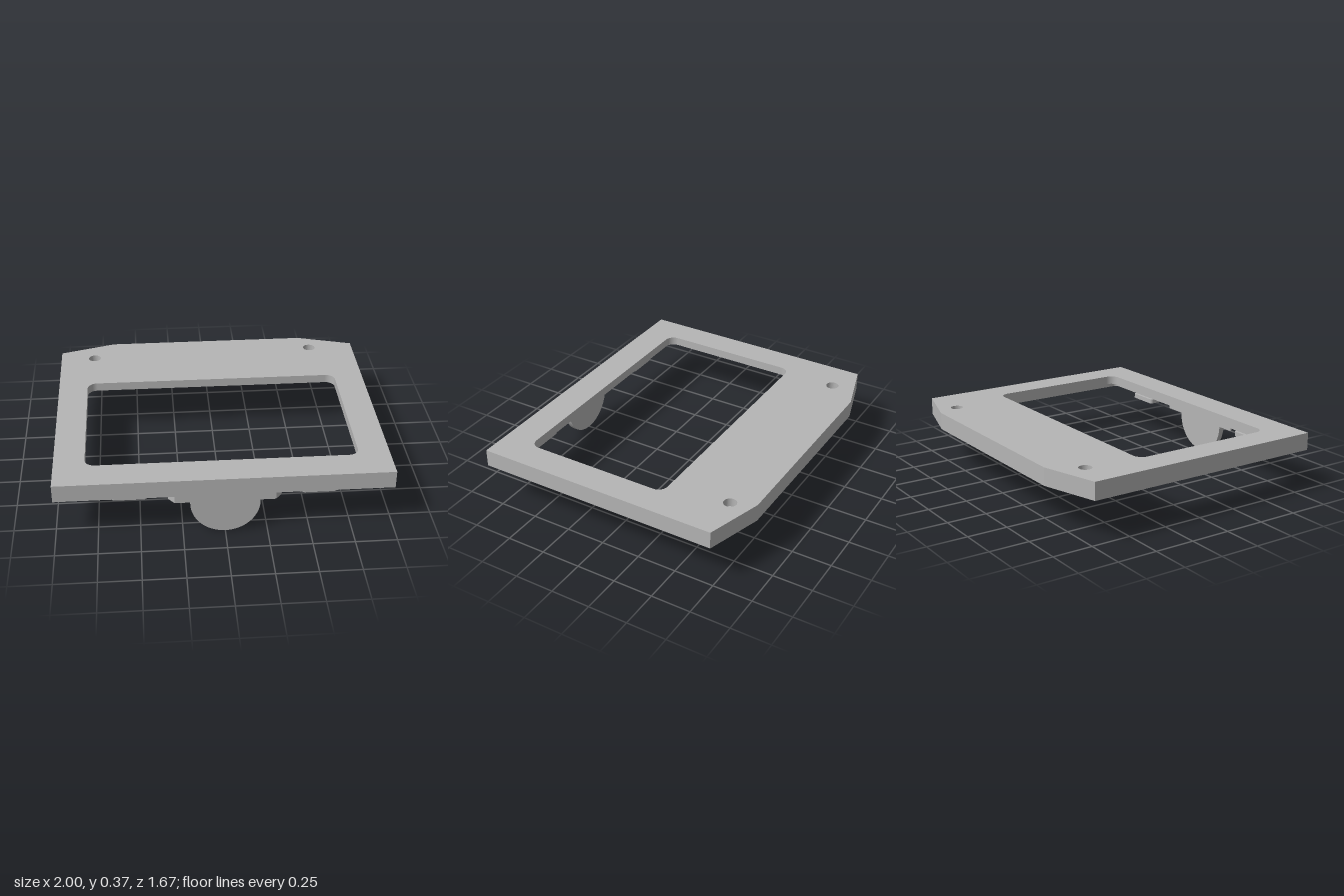
import * as THREE from 'three';

const TOP = 0.37, ROOF = 0.315, BASE = 0.26;

// Traces a rounded rectangle onto a Shape or Path.
function roundRect(p, x0, y0, x1, y1, r) {
  p.moveTo(x0 + r, y0);
  p.lineTo(x1 - r, y0);
  p.absarc(x1 - r, y0 + r, r, -Math.PI / 2, 0, false);
  p.lineTo(x1, y1 - r);
  p.absarc(x1 - r, y1 - r, r, 0, Math.PI / 2, false);
  p.lineTo(x0 + r, y1);
  p.absarc(x0 + r, y1 - r, r, Math.PI / 2, Math.PI, false);
  p.lineTo(x0, y0 + r);
  p.absarc(x0 + r, y0 + r, r, Math.PI, Math.PI * 1.5, false);
  return p;
}

function circleHole(x, z, r) {
  const p = new THREE.Path();
  p.absarc(x, -z, r, 0, Math.PI * 2, true);
  return p;
}

// Extrudes a plan shape (shape y = -z) between two heights.
function slab(shape, y0, y1) {
  const g = new THREE.ExtrudeGeometry(shape, { depth: y1 - y0, bevelEnabled: false, curveSegments: 24 });
  g.rotateX(-Math.PI / 2);
  g.translate(0, y0, 0);
  return g;
}

function outline() {
  return new THREE.Shape([
    [-1, -0.835], [1, -0.835], [1, 0.73], [0.645, 0.835], [-0.645, 0.835], [-1, 0.73],
  ].map(([x, y]) => new THREE.Vector2(x, y)));
}

export function createModel() {
  const grey = new THREE.MeshStandardMaterial({ color: 0xb5b5b5 });
  grey.name = 'plain grey';
  const group = new THREE.Group();
  group.name = 'displayBezel';
  const add = (name, geometry) => {
    const mesh = new THREE.Mesh(geometry, grey);
    mesh.name = name;
    group.add(mesh);
    return mesh;
  };

  // Upper layer: window and two blind holes
  const upper = outline();
  upper.holes.push(
    roundRect(new THREE.Path(), -0.815, -0.64, 0.815, 0.305, 0.06),
    circleHole(-0.775, -0.645, 0.04),
    circleHole(0.705, -0.69, 0.04),
  );
  add('facePlate', slab(upper, ROOF, TOP));

  // Lower layer: wider panel recess with a half-round finger notch at the back
  const lower = outline();
  const recess = new THREE.Path();
  const r = 0.03, x = 0.91, front = -0.735, back = 0.42;
  recess.moveTo(-x + r, front);
  recess.lineTo(x - r, front);
  recess.absarc(x - r, front + r, r, -Math.PI / 2, 0, false);
  recess.lineTo(x, back - r);
  recess.absarc(x - r, back - r, r, 0, Math.PI / 2, false);
  recess.lineTo(0.2, back);
  recess.absarc(0, back, 0.2, 0, Math.PI, false);
  recess.lineTo(-x + r, back);
  recess.absarc(-x + r, back - r, r, Math.PI / 2, Math.PI, false);
  recess.lineTo(-x, front + r);
  recess.absarc(-x + r, front + r, r, Math.PI, Math.PI * 1.5, false);
  lower.holes.push(recess, circleHole(0.35, -0.54, 0.04));
  add('recessFrame', slab(lower, BASE, ROOF));

  // Locating pins under the back
  for (const [px, pz] of [[0.52, -0.48], [0.27, -0.695]]) {
    const pin = add('locatingPin', new THREE.CylinderGeometry(0.024, 0.024, 0.04, 24));
    pin.position.set(px, 0.25, pz);
  }

  // Retaining clips along the front edge
  for (const side of [-1, 1]) {
    const cx = side * 0.558;
    const clip = roundRect(new THREE.Shape(), cx - 0.106, -0.805, cx + 0.106, -0.715, 0.02);
    add('retainingClip', slab(clip, 0.23, BASE));
  }

  // Bar with slanted ends behind the thumb tab
  const bar = new THREE.Shape([
    [-0.297, -0.835], [0.297, -0.835], [0.333, -0.79], [-0.333, -0.79],
  ].map(([bx, by]) => new THREE.Vector2(bx, by)));
  add('tabBar', slab(bar, 0.215, BASE));

  // Half-round thumb tab
  const tab = new THREE.Shape();
  tab.moveTo(0.206, BASE);
  tab.lineTo(-0.206, BASE);
  tab.lineTo(-0.206, 0.206);
  tab.absarc(0, 0.206, 0.206, Math.PI, Math.PI * 2, false);
  const tabGeometry = new THREE.ExtrudeGeometry(tab, { depth: 0.035, bevelEnabled: false, curveSegments: 40 });
  tabGeometry.translate(0, 0, 0.8);
  add('thumbTab', tabGeometry);

  return group;
}
